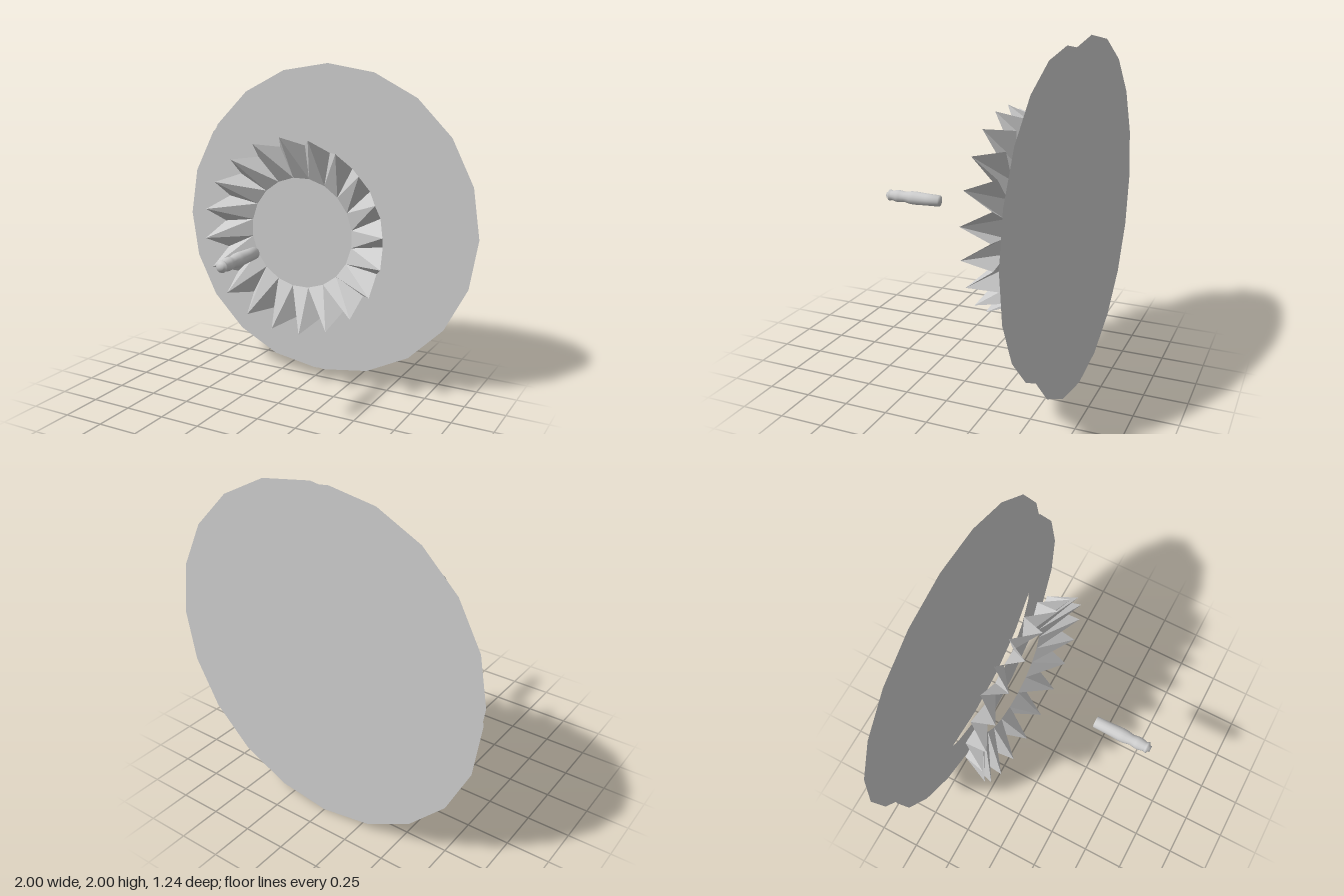
import * as THREE from 'three';

const SIDES = 20;

export function createModel() {
  const model = new THREE.Group();
  const smooth = new THREE.MeshStandardMaterial({ color: 0xcccccc, side: THREE.DoubleSide });
  const faceted = new THREE.MeshStandardMaterial({ color: 0xcccccc, side: THREE.DoubleSide, flatShading: true });

  const add = (name, geometry, material, z = 0) => {
    const mesh = new THREE.Mesh(geometry, material);
    mesh.name = name;
    mesh.position.set(0, 1, z);
    model.add(mesh);
    return mesh;
  };

  // Flat outer layers
  add('backDisc', new THREE.CircleGeometry(1, SIDES), smooth, -0.62);
  add('middleRing', new THREE.RingGeometry(0.61, 0.94, SIDES), smooth, -0.49);

  // Pleated crown: inner rim, raised tips and low notches, one set per side
  const polar = (r, degrees, z) => {
    const a = THREE.MathUtils.degToRad(degrees);
    return [r * Math.cos(a), r * Math.sin(a), z];
  };
  const step = 360 / SIDES;
  const corners = [];
  for (let i = 0; i < SIDES; i++) {
    const a = i * step;
    const inner = polar(0.34, a + 9, -0.28);
    const innerNext = polar(0.34, a + 9 + step, -0.28);
    const tip = polar(0.596, a + 6.5, -0.13);
    const tipNext = polar(0.596, a + 6.5 + step, -0.13);
    const notch = polar(0.535, a + 15.5, -0.28);
    corners.push(...inner, ...tip, ...notch);
    corners.push(...inner, ...notch, ...tipNext);
    corners.push(...inner, ...tipNext, ...innerNext);
  }
  const crown = new THREE.BufferGeometry();
  crown.setAttribute('position', new THREE.Float32BufferAttribute(corners, 3));
  crown.computeVertexNormals();
  add('pleatedCrown', crown, faceted);

  // Turned stem floating in front, its axis along z
  const profile = [
    [0, 0.27], [0.034, 0.27], [0.036, 0.35], [0.04, 0.43], [0.039, 0.46],
    [0.031, 0.5], [0.036, 0.53], [0.037, 0.55], [0.029, 0.585],
    [0.033, 0.595], [0.033, 0.605], [0.02, 0.608], [0.018, 0.62], [0, 0.62],
  ].map(([r, y]) => new THREE.Vector2(r, y));
  add('centreStem', new THREE.LatheGeometry(profile, 16), smooth).rotation.x = Math.PI / 2;

  return model;
}
